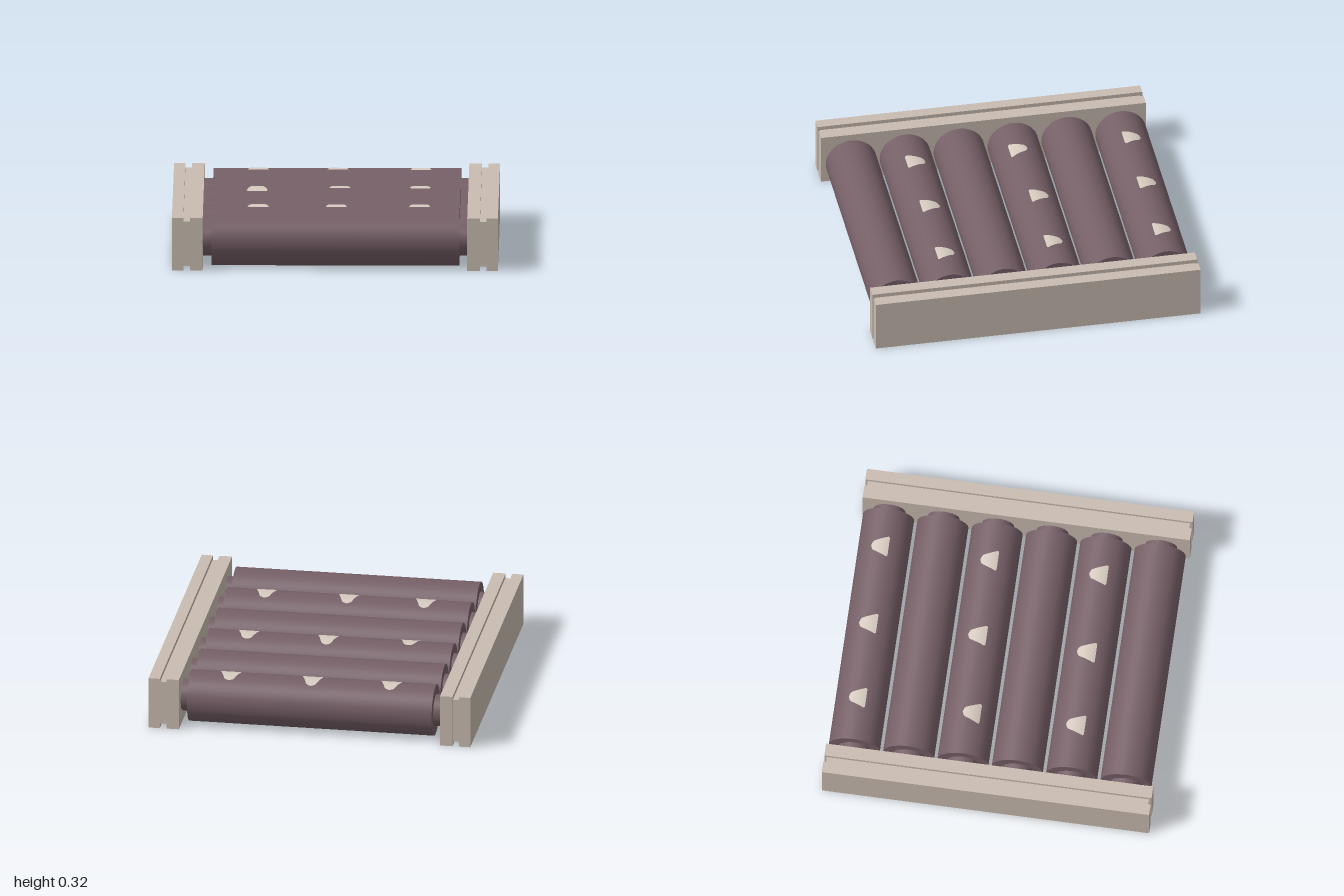
import * as THREE from 'three';

const railMaterial = new THREE.MeshStandardMaterial({ color: 0xc9bcb1 });
railMaterial.name = 'pale beige';
const rollerMaterial = new THREE.MeshStandardMaterial({ color: 0x755f66 });
rollerMaterial.name = 'dusky plum';
const markMaterial = new THREE.MeshStandardMaterial({ color: 0xd6cabf, side: THREE.DoubleSide });
markMaterial.name = 'light cream';

const AXIS_Y = 0.162, RADIUS = 0.156, SHAFT_RADIUS = 0.096;

function addMesh(parent, name, geometry, material, x = 0, y = 0, z = 0) {
  const mesh = new THREE.Mesh(geometry, material);
  mesh.name = name;
  mesh.position.set(x, y, z);
  parent.add(mesh);
  return mesh;
}

// Box given by its x range, y range and length along z
function addBeam(parent, name, x0, x1, y0, y1, length) {
  addMesh(parent, name, new THREE.BoxGeometry(x1 - x0, y1 - y0, length), railMaterial,
    (x0 + x1) / 2, (y0 + y1) / 2, 0);
}

// Rounded triangle wrapped onto the roller, in the roller's own frame
function markGeometry(zTip, zBase) {
  const rows = 14, r = RADIUS + 0.002;
  const geometry = new THREE.PlaneGeometry(1, 1, 1, rows);
  const p = geometry.attributes.position;
  for (let i = 0; i < p.count; i++) {
    const t = 0.5 - p.getY(i); // 0 at the tip, 1 at the base
    const tip = 0.024 * Math.sqrt(Math.min(1, t / 0.12));
    const half = t > 0.95 ? 0.065 - (t - 0.95) * 0.15 : tip + 0.041 * t / 0.95;
    const z = zTip + (zBase - zTip) * t;
    p.setXYZ(i, Math.sign(p.getX(i)) * half, Math.sqrt(r * r - z * z), z);
  }
  geometry.computeVertexNormals();
  return geometry;
}

export function createModel() {
  const model = new THREE.Group();
  model.name = 'rollerConveyor';

  // Side rails: two plates joined by a recessed web
  for (const [name, side] of [['leftRail', 1], ['rightRail', -1]]) {
    const rail = new THREE.Group();
    rail.name = name;
    const span = (a, b) => (side > 0 ? [a, b] : [-b - 0.005, -a - 0.005]);
    addBeam(rail, 'outerPlate', ...span(0.915, 0.984), 0, 0.322, 2);
    addBeam(rail, 'web', ...span(0.87, 0.92), 0.025, 0.298, 1.97);
    addBeam(rail, 'innerPlate', ...span(0.798, 0.875), 0, 0.322, 2);
    model.add(rail);
  }

  // Marks on alternate rollers: x, z of tip, z of base
  const marks = {
    0: [[-0.477, -0.907, -0.8], [0.005, -0.912, -0.8], [0.507, -0.907, -0.8]],
    2: [[-0.48, -0.21, -0.1], [0.02, -0.247, -0.133], [0.507, -0.24, -0.133]],
    4: [[-0.47, 0.42, 0.537], [0.003, 0.42, 0.537], [0.507, 0.425, 0.537]],
  };

  // Rollers with their shafts
  const rollerShape = new THREE.CylinderGeometry(RADIUS, RADIUS, 1.5, 64).rotateZ(Math.PI / 2);
  const shaftShape = new THREE.CylinderGeometry(SHAFT_RADIUS, SHAFT_RADIUS, 1.61, 48).rotateZ(Math.PI / 2);
  for (let i = 0; i < 6; i++) {
    const z = -0.835 + i * 0.332;
    const roller = new THREE.Group();
    roller.name = 'roller' + (i + 1);
    roller.position.set(0, AXIS_Y, z);
    addMesh(roller, 'drum', rollerShape, rollerMaterial);
    addMesh(roller, 'shaft', shaftShape, rollerMaterial);
    for (const [x, tip, base] of marks[i] || []) {
      addMesh(roller, 'triangleMark', markGeometry(tip - z, base - z), markMaterial, x);
    }
    model.add(roller);
  }
  return model;
}
